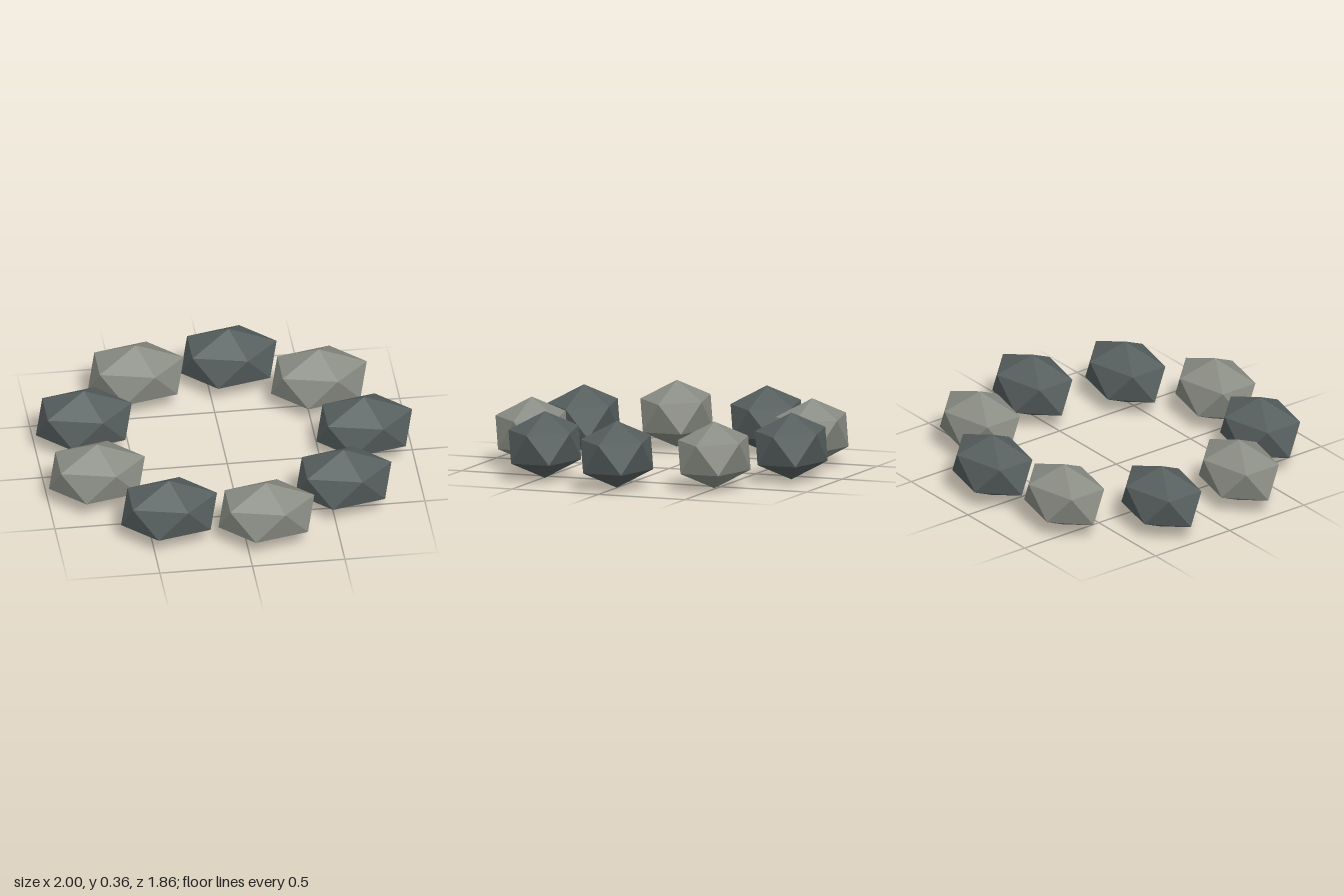
import * as THREE from 'three';

const COUNT = 9;
const RING_RADIUS = 0.763;
const HALF_HEIGHT = 0.181;

export function createModel() {
  const group = new THREE.Group();
  group.name = 'stoneRing';

  const darkStone = new THREE.MeshStandardMaterial({ color: 0x565f5e, flatShading: true });
  const lightStone = new THREE.MeshStandardMaterial({ color: 0x8a8d84, flatShading: true });

  // One faceted stone: an icosahedron stood on a corner, then stretched along x
  const golden = (1 + Math.sqrt(5)) / 2;
  const stoneGeometry = new THREE.IcosahedronGeometry(1, 0);
  stoneGeometry.rotateZ(-Math.atan(1 / golden));
  stoneGeometry.scale(0.29, HALF_HEIGHT, 0.209);

  // An odd count makes the ring lopsided in x, so shift it back to centre
  const shift = -RING_RADIUS * (1 - Math.cos(Math.PI / COUNT)) / 2;

  // Stones all keep the same heading around the ring
  for (let i = 0; i < COUNT; i++) {
    const angle = (i / COUNT) * Math.PI * 2;
    const isLight = i > 0 && i % 2 === 0;
    const stone = new THREE.Mesh(stoneGeometry, isLight ? lightStone : darkStone);
    stone.name = `stone${i + 1}`;
    stone.position.set(
      RING_RADIUS * Math.cos(angle) + shift,
      HALF_HEIGHT,
      RING_RADIUS * Math.sin(angle)
    );
    group.add(stone);
  }
  return group;
}
